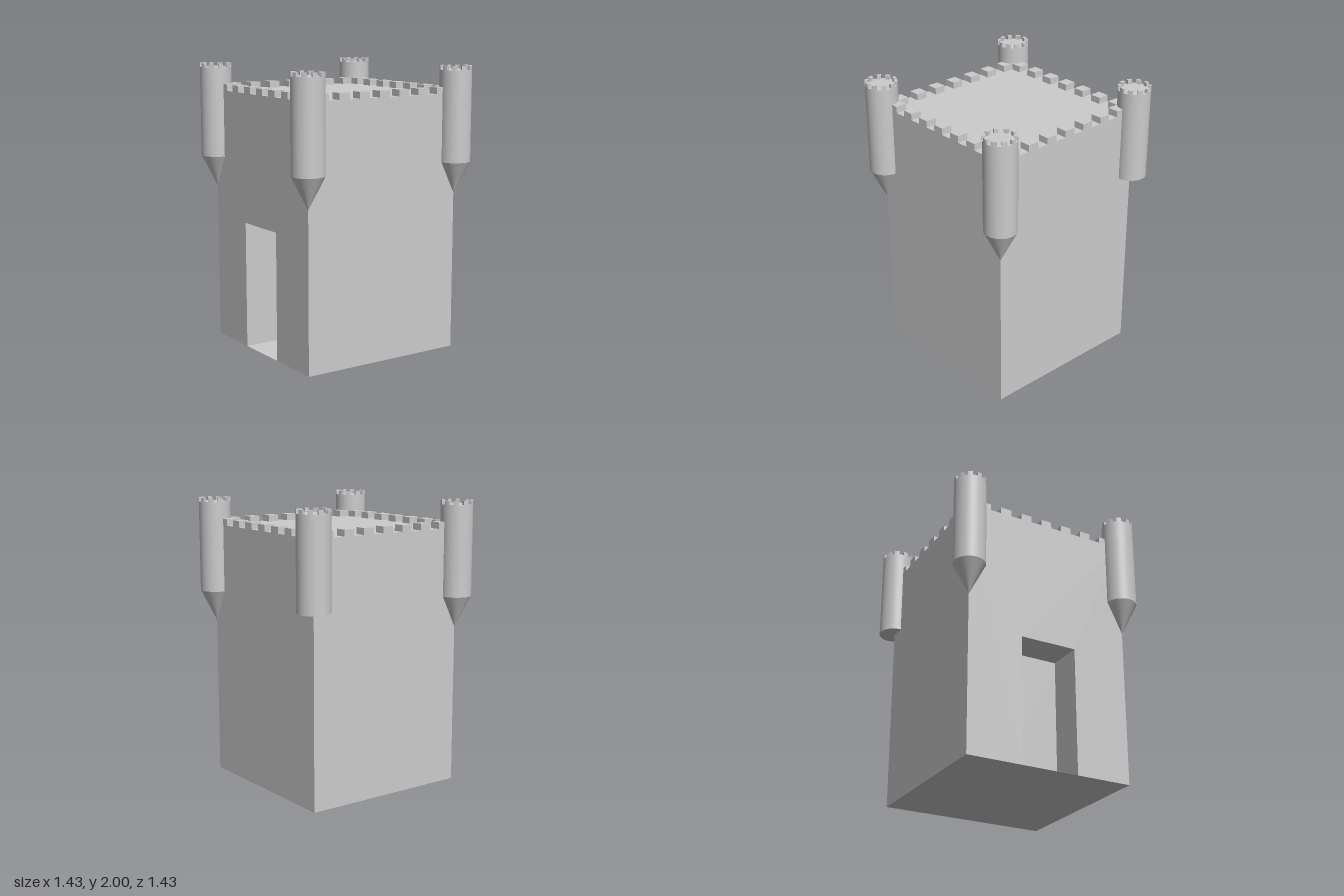
import * as THREE from 'three';

const HALF = 0.605, ROOF = 1.81;             // keep half width and roof height
const DOOR_W = 0.41, DOOR_H = 0.9, DOOR_D = 0.255;
const R = 0.112, TURRET_Y = 1.337, TIP_Y = 1.115, TURRET_ROOF = 1.972, TOP = 2;

const material = new THREE.MeshStandardMaterial({ color: 0xcccccc });
const twoSided = new THREE.MeshStandardMaterial({ color: 0xcccccc, side: THREE.DoubleSide });

function add(parent, name, geometry, x = 0, y = 0, z = 0, mat = material) {
  const mesh = new THREE.Mesh(geometry, mat);
  mesh.name = name;
  mesh.position.set(x, y, z);
  parent.add(mesh);
  return mesh;
}

// Flat wall panel, facing +z before it is turned
function panel(parent, name, w, h, [x, y, z], rx = 0, ry = 0, mat = material) {
  const mesh = add(parent, name, new THREE.PlaneGeometry(w, h), x, y, z, mat);
  mesh.rotation.set(rx, ry, 0);
}

function createKeep() {
  const keep = new THREE.Group();
  keep.name = 'keep';
  const W = HALF * 2, mid = ROOF / 2, q = Math.PI / 2;
  panel(keep, 'frontWall', W, ROOF, [0, mid, HALF]);
  panel(keep, 'backWall', W, ROOF, [0, mid, -HALF], 0, Math.PI);
  panel(keep, 'leftWall', W, ROOF, [HALF, mid, 0], 0, q);
  panel(keep, 'roof', W, W, [0, ROOF, 0], -q);
  panel(keep, 'floor', W, W, [0, 0, 0], -q, 0, twoSided);

  // Right wall with the doorway cut out of its lower edge
  const d = DOOR_W / 2;
  const outline = [[-HALF, 0], [-d, 0], [-d, DOOR_H], [d, DOOR_H], [d, 0], [HALF, 0], [HALF, ROOF], [-HALF, ROOF]];
  const wall = new THREE.Shape(outline.map(([x, y]) => new THREE.Vector2(x, y)));
  add(keep, 'doorWall', new THREE.ShapeGeometry(wall), -HALF).rotation.y = -q;

  // Doorway recess
  const cx = -HALF + DOOR_D / 2;
  panel(keep, 'doorBack', DOOR_W, DOOR_H, [-HALF + DOOR_D, DOOR_H / 2, 0], 0, -q);
  panel(keep, 'doorJamb', DOOR_D, DOOR_H, [cx, DOOR_H / 2, d], 0, Math.PI);
  panel(keep, 'doorJamb', DOOR_D, DOOR_H, [cx, DOOR_H / 2, -d]);
  panel(keep, 'doorLintel', DOOR_D, DOOR_W, [cx, DOOR_H, 0], q);
  return keep;
}

// Seven blocks along each roof edge
function createBattlements() {
  const group = new THREE.Group();
  group.name = 'battlements';
  const size = HALF * 2 / 15;
  const block = new THREE.BoxGeometry(size, 0.045, size);
  const edge = HALF - size / 2, y = ROOF + 0.0225;
  for (let i = -3; i <= 3; i++) {
    for (const side of [-1, 1]) {
      add(group, 'merlon', block, i * size * 2, y, side * edge);
      add(group, 'merlon', block, side * edge, y, i * size * 2);
    }
  }
  return group;
}

// Curved block of the turret crown
function crownBlock(start, sweep) {
  const shape = new THREE.Shape();
  shape.absarc(0, 0, R, start, start + sweep, false);
  shape.absarc(0, 0, R - 0.022, start + sweep, start, true);
  const g = new THREE.ExtrudeGeometry(shape, { depth: TOP - TURRET_ROOF, bevelEnabled: false, curveSegments: 4 });
  return g.rotateX(Math.PI / 2);
}

function createTurret(x, z, hasTip) {
  const turret = new THREE.Group();
  turret.name = 'turret';
  turret.position.set(x, 0, z);
  const h = TURRET_ROOF - TURRET_Y;
  add(turret, 'turretShaft', new THREE.CylinderGeometry(R, R, h, 40), 0, TURRET_Y + h / 2);
  if (hasTip) {
    const tip = new THREE.CylinderGeometry(R, 0, TURRET_Y - TIP_Y, 40, 1, true);
    add(turret, 'turretTip', tip, 0, (TURRET_Y + TIP_Y) / 2);
  }
  const step = Math.PI / 10;
  for (let i = 0; i < 10; i++) add(turret, 'turretMerlon', crownBlock((2 * i + 1) * step, step), 0, TOP);
  return turret;
}

export function createModel() {
  const model = new THREE.Group();
  model.name = 'castleTower';
  model.add(createKeep(), createBattlements());
  // Corner turrets; the back left one ends in a flat base
  for (const sx of [-1, 1]) {
    for (const sz of [-1, 1]) model.add(createTurret(sx * HALF, sz * HALF, !(sx > 0 && sz < 0)));
  }
  return model;
}
